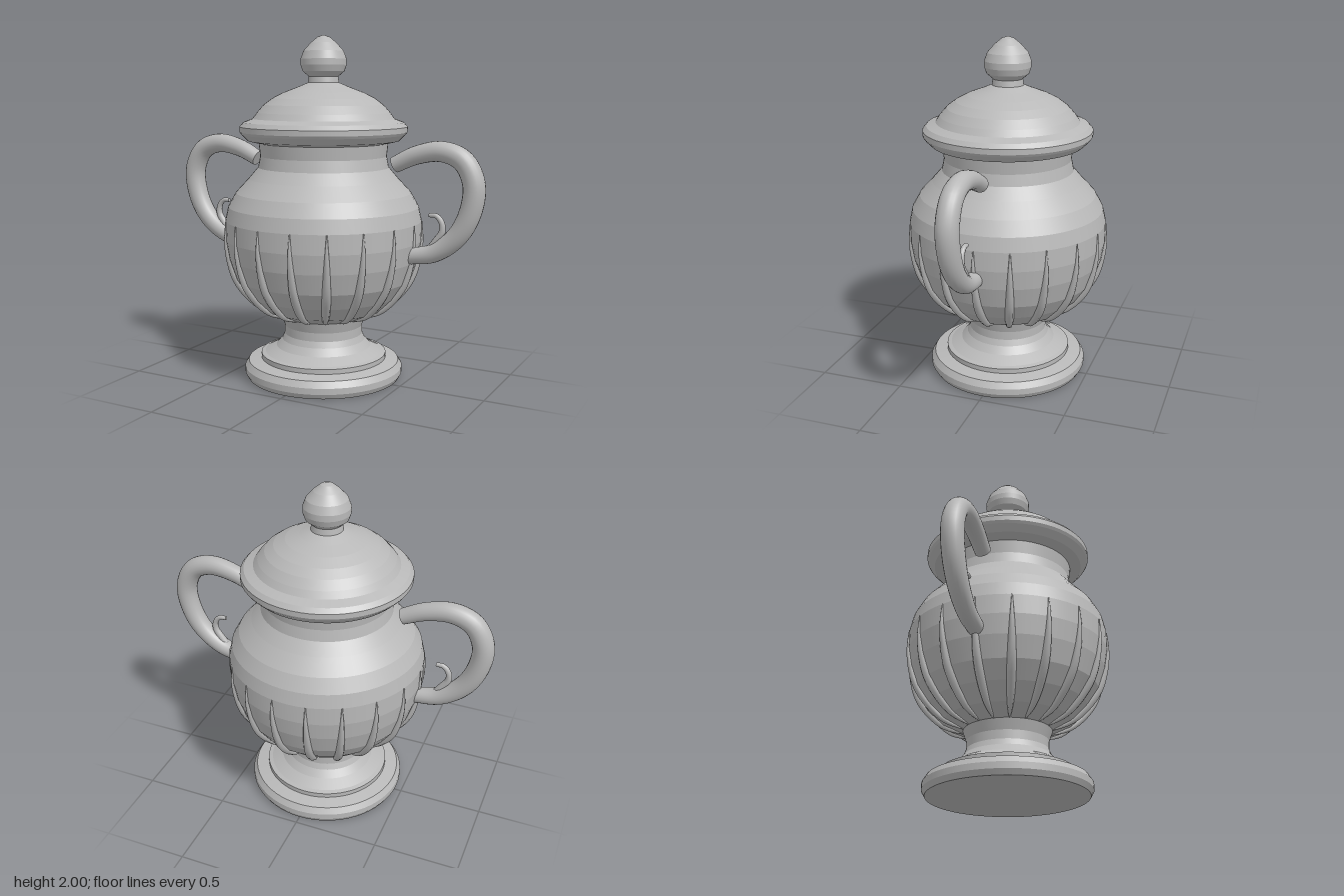
import * as THREE from 'three';
import { mergeGeometries } from 'three/addons/utils/BufferGeometryUtils.js';

const clay = new THREE.MeshStandardMaterial({ color: 0xb8b8b8 });
clay.name = 'grey clay';

// Turned part: smooth around the axis, with a crisp band for each profile step
function turned(name, profile) {
  const bands = [];
  for (let i = 0; i < profile.length - 1; i++) {
    const pair = [profile[i], profile[i + 1]].map(([r, y]) => new THREE.Vector2(r, y));
    bands.push(new THREE.LatheGeometry(pair, 64));
  }
  const mesh = new THREE.Mesh(mergeGeometries(bands), clay);
  mesh.name = name;
  return mesh;
}

// Tube through points in the xy plane; radiusAt(t) gives its thickness
function taperedTube(name, points, radiusAt, steps, sides, capped) {
  const path = new THREE.CatmullRomCurve3(points.map(([x, y]) => new THREE.Vector3(x, y, 0)));
  const tube = new THREE.TubeGeometry(path, steps, 1, sides);
  const pos = tube.attributes.position;
  const v = new THREE.Vector3();
  for (let i = 0; i <= steps; i++) {
    const c = path.getPointAt(i / steps);
    for (let j = 0; j <= sides; j++) {
      const k = i * (sides + 1) + j;
      v.fromBufferAttribute(pos, k).sub(c).multiplyScalar(radiusAt(i / steps)).add(c);
      pos.setXYZ(k, v.x, v.y, v.z);
    }
  }
  const pieces = [tube];
  if (capped) {
    for (const t of [0, 1]) {
      const out = path.getTangentAt(t).multiplyScalar(t ? 1 : -1);
      const cap = new THREE.CircleGeometry(radiusAt(t), sides);
      cap.applyQuaternion(new THREE.Quaternion().setFromUnitVectors(new THREE.Vector3(0, 0, 1), out));
      const p = path.getPointAt(t);
      pieces.push(cap.translate(p.x, p.y, p.z));
    }
  }
  const mesh = new THREE.Mesh(mergeGeometries(pieces), clay);
  mesh.name = name;
  return mesh;
}

export function createModel() {
  const urn = new THREE.Group();
  urn.name = 'urn';

  // Stepped foot and stem
  urn.add(turned('foot', [
    [0, 0], [0.45, 0], [0.467, 0.03], [0.467, 0.065], [0.445, 0.1], [0.37, 0.115], [0.37, 0.143],
    [0.345, 0.15], [0.28, 0.185], [0.245, 0.225], [0.23, 0.26], [0.23, 0.31], [0.25, 0.37],
  ]));

  // Round bowl and neck
  const lower = [[0.25, 0.37], [0.36, 0.42], [0.45, 0.505], [0.515, 0.6], [0.555, 0.72], [0.573, 0.83], [0.573, 0.94]];
  urn.add(turned('bowl', [
    ...lower, [0.555, 1.02], [0.51, 1.1], [0.435, 1.18], [0.38, 1.245], [0.367, 1.31], [0.375, 1.385],
  ]));

  // Rim, domed lid and knob
  urn.add(turned('rim', [
    [0.375, 1.385], [0.44, 1.4], [0.475, 1.435], [0.485, 1.45], [0.485, 1.48], [0.463, 1.505], [0.41, 1.525],
  ]));
  urn.add(turned('lid', [
    [0.41, 1.525], [0.385, 1.56], [0.345, 1.605], [0.295, 1.642], [0.23, 1.675], [0.15, 1.705], [0.09, 1.73],
    [0.085, 1.765],
  ]));
  urn.add(turned('knob', [
    [0.085, 1.765], [0.12, 1.795], [0.132, 1.83], [0.132, 1.865], [0.115, 1.91], [0.075, 1.955],
    [0.035, 1.988], [0, 2],
  ]));

  // Leaf-shaped ribs following the lower bowl
  const ribs = new THREE.Group();
  ribs.name = 'ribs';
  const ribWidth = (t) => 0.003 + 0.022 * Math.sin(Math.PI * Math.pow(t, 0.8));
  for (let i = 0; i < 18; i++) {
    const rib = taperedTube('rib', lower, ribWidth, 24, 8, false);
    rib.rotation.y = (i * Math.PI) / 9;
    ribs.add(rib);
  }
  urn.add(ribs);

  // Looped handles, each with a small inner curl
  for (const side of ['left', 'right']) {
    const handle = new THREE.Group();
    handle.name = side + 'Handle';
    handle.add(taperedTube('loop', [
      [0.452, 1.277], [0.58, 1.335], [0.73, 1.36], [0.85, 1.315], [0.914, 1.19], [0.895, 1.03],
      [0.82, 0.895], [0.69, 0.797], [0.54, 0.765],
    ], (t) => 0.046 + 0.016 * Math.sin(Math.PI * t), 48, 20, true));
    handle.add(taperedTube('curl', [
      [0.66, 0.8], [0.705, 0.865], [0.738, 0.92], [0.735, 0.97], [0.705, 1.005], [0.662, 1.008],
    ], (t) => 0.026 - 0.014 * t, 20, 12, true));
    if (side === 'right') handle.rotation.y = Math.PI;
    urn.add(handle);
  }
  return urn;
}
